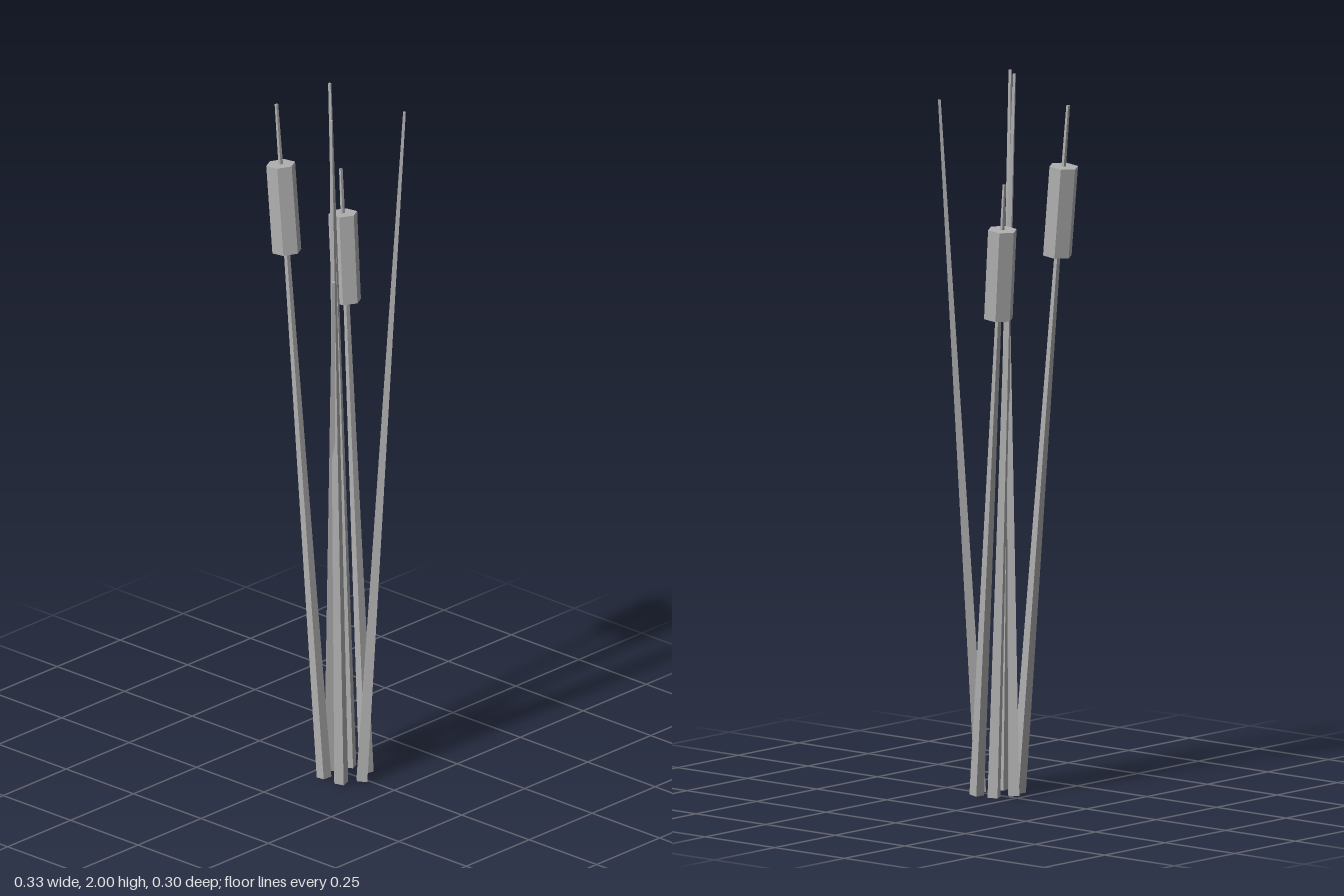
import * as THREE from 'three';

const UP = new THREE.Vector3(0, 1, 0);

// base and tip are [x, y, z]; turn is the angle of the stem's corners in degrees;
// head is the height of the seed head's centre, if it has one
const PLANTS = [
  { name: 'frontCattail', base: [0.051, 0.002, 0.066], tip: [-0.147, 1.92, 0.043], turn: 49, head: 1.625 },
  { name: 'backCattail', base: [0.109, 0.002, -0.04], tip: [-0.051, 1.71, -0.11], turn: 53, head: 1.46 },
  { name: 'tallReed', base: [0.05, 0.002, -0.037], tip: [-0.012, 2.0, -0.024], turn: 20 },
  { name: 'backReed', base: [0.14, 0.002, 0.011], tip: [0.152, 1.925, -0.145], turn: 0 },
  { name: 'shortReed', base: [0.022, 0.002, 0.013], tip: [0.157, 1.515, 0.142], turn: 0 },
  { name: 'frontReed', base: [0.111, 0.002, 0.062], tip: [0.127, 1.975, 0.119], turn: 28 },
];

export function createModel() {
  const grey = new THREE.MeshStandardMaterial({ color: 0xb0b0b0, flatShading: true });
  grey.name = 'grey';
  const model = new THREE.Group();
  model.name = 'reeds';

  for (const { name, base, tip, turn, head } of PLANTS) {
    const a = new THREE.Vector3(...base);
    const b = new THREE.Vector3(...tip);
    const plant = new THREE.Group();
    plant.name = name;
    plant.position.copy(a);
    plant.quaternion.setFromUnitVectors(UP, b.clone().sub(a).normalize());

    // four-sided tapering stem
    const length = a.distanceTo(b);
    const stemShape = new THREE.CylinderGeometry(0.005, 0.02, length, 4);
    stemShape.rotateY(-THREE.MathUtils.degToRad(turn)).translate(0, length / 2, 0);
    const stem = new THREE.Mesh(stemShape, grey);
    stem.name = 'stem';
    plant.add(stem);

    // six-sided seed head
    if (head) {
      const headShape = new THREE.CylinderGeometry(0.041, 0.041, 0.25, 6).rotateY(Math.PI / 2);
      const seedHead = new THREE.Mesh(headShape, grey);
      seedHead.name = 'seedHead';
      seedHead.position.y = head * length / b.y;
      plant.add(seedHead);
    }
    model.add(plant);
  }
  return model;
}
